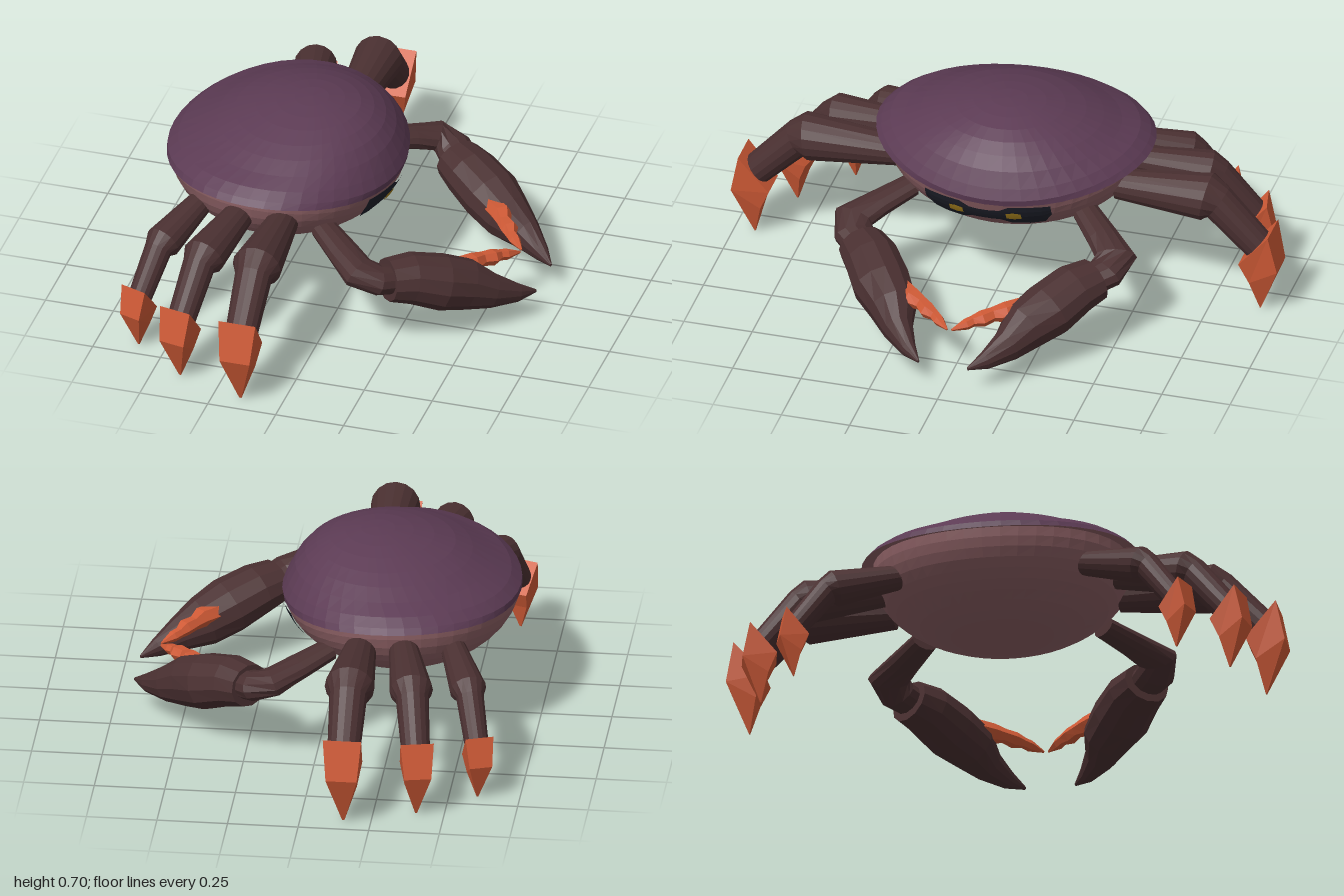
import * as THREE from 'three';

const V = (x, y, z) => new THREE.Vector3(x, y, z);
const UP = V(0, 1, 0);
const mat = (name, color) => Object.assign(new THREE.MeshStandardMaterial({ color }), { name });

// Skin a list of rings with flat facets; closed rings wrap around and can be capped.
function skin(rings, { closed = true, capStart = false, capEnd = false } = {}) {
  const pos = [], n = rings[0].length;
  const tri = (a, b, c) => {
    const area = b.clone().sub(a).cross(c.clone().sub(a)).length();
    if (area > 1e-9) for (const p of [a, b, c]) pos.push(p.x, p.y, p.z);
  };
  for (let i = 0; i + 1 < rings.length; i++) {
    for (let j = 0; j < (closed ? n : n - 1); j++) {
      const k = (j + 1) % n;
      tri(rings[i][j], rings[i + 1][j], rings[i][k]);
      tri(rings[i][k], rings[i + 1][j], rings[i + 1][k]);
    }
  }
  const cap = (ring, flip) => {
    const c = ring.reduce((s, p) => s.add(p), V(0, 0, 0)).divideScalar(n);
    ring.forEach((p, j) => {
      const q = ring[(j + 1) % n];
      if (flip) tri(c, q, p); else tri(c, p, q);
    });
  };
  if (capStart) cap(rings[0], false);
  if (capEnd) cap(rings[rings.length - 1], true);
  const g = new THREE.BufferGeometry();
  g.setAttribute('position', new THREE.Float32BufferAttribute(pos, 3));
  g.computeVertexNormals();
  return g;
}

// Loft elliptical sections [point, halfWidth, halfHeight] along a bent path.
function loft(sections, sides) {
  const pts = sections.map(s => s[0]);
  const dir = i => pts[i + 1].clone().sub(pts[i]).normalize();
  const rings = sections.map(([p, a, b = a], i) => {
    const t = V(0, 0, 0);
    if (i > 0) t.add(dir(i - 1));
    if (i + 1 < pts.length) t.add(dir(i));
    t.normalize();
    const side = t.clone().cross(UP).normalize();
    const up = side.clone().cross(t);
    return Array.from({ length: sides }, (_, j) => {
      const an = (j / sides) * Math.PI * 2;
      return p.clone().addScaledVector(side, a * Math.cos(an)).addScaledVector(up, b * Math.sin(an));
    });
  });
  return skin(rings, { capStart: true, capEnd: true });
}

export function createModel() {
  const shellMat = mat('shell purple', 0x5c3b54);
  const bellyMat = mat('belly pink', 0x8b5f63);
  const limbMat = mat('limb brown', 0x4a3031);
  const orangeMat = mat('tip orange', 0xcf5a36);
  const visorMat = mat('visor black', 0x1e202a);
  const eyeMat = mat('eye yellow', 0xa8821f);

  const model = new THREE.Group();
  model.name = 'crab';
  const add = (name, geometry, material, parent = model) => {
    const m = new THREE.Mesh(geometry, material);
    m.name = name;
    parent.add(m);
  };

  // Body: the rim dips at the front (+x) and a little at the back
  const SEG = 44;
  const rimY = c => 0.52 - 0.015 * c - 0.05 * c * c;
  const around = f => Array.from({ length: SEG }, (_, j) => {
    const an = (j / SEG) * Math.PI * 2;
    return f(Math.cos(an), Math.sin(an));
  });

  // Domed shell: [height, centre x, half length, half width, rim influence]
  const shellRings = [
    [0.5, -0.26, 0.42, 0.5, 1], [0.52, -0.257, 0.422, 0.48, 0.95],
    [0.55, -0.247, 0.395, 0.445, 0.75], [0.585, -0.225, 0.345, 0.385, 0.3],
    [0.62, -0.21, 0.295, 0.325, 0.1], [0.648, -0.2, 0.245, 0.265, 0],
    [0.672, -0.185, 0.185, 0.195, 0], [0.688, -0.177, 0.12, 0.13, 0],
    [0.697, -0.172, 0.06, 0.065, 0], [0.7, -0.17, 0, 0, 0],
  ].map(([y, cx, rx, rz, w]) => around((c, s) => V(cx + rx * c, y + w * (rimY(c) - 0.5), rz * s)));
  add('shell', skin(shellRings), shellMat);

  // Rounded belly, closed against the shell rim
  const B = { cx: -0.255, cy: 0.5, rx: 0.42, ry: 0.27, rz: 0.46 };
  const bellyRings = [];
  for (let i = 0; i <= 12; i++) {
    bellyRings.push(around((c, s) => {
      const phi = (i / 12) * Math.acos((B.cy - rimY(c)) / B.ry);
      const r = Math.sin(phi);
      return V(B.cx + B.rx * r * c, B.cy - B.ry * Math.cos(phi), B.rz * r * s);
    }));
  }
  bellyRings.push(shellRings[0]);
  add('belly', skin(bellyRings), bellyMat);

  // Face plates that follow the belly: columns of [z, low y, high y]
  const plate = (columns, lift) => skin(columns.map(([z, lo, hi]) =>
    [0, 1, 2, 3, 4].map(k => {
      const y = lo + ((hi - lo) * k) / 4;
      const q = 1 - ((y - B.cy) / B.ry) ** 2 - (z / B.rz) ** 2;
      return V(B.cx + B.rx * Math.sqrt(q) + lift, y, z);
    })), { closed: false });
  const half = [[0.23, 0.41, 0.455], [0.2, 0.362, 0.455], [0.15, 0.356, 0.455],
    [0.09, 0.358, 0.455], [0.055, 0.382, 0.435], [0.02, 0.382, 0.432]];
  const mirrored = half.map(([z, lo, hi]) => [-z, lo, hi]).reverse();
  add('visor', plate([...half, ...mirrored], 0.008), visorMat);
  for (const s of [1, -1]) {
    const z = s * 0.105;
    add('eye', plate([[z + 0.026, 0.398, 0.425], [z, 0.394, 0.43], [z - 0.026, 0.398, 0.425]], 0.014), eyeMat);
  }

  // Walking legs: toe tip, outward angle, scale, hip position and knee height
  const legs = [
    { name: 'frontLeg', tip: [-0.152, 0.925], angle: 0, k: 1, hip: [-0.155, 0.42, 0.4], knee: 0.425 },
    { name: 'middleLeg', tip: [-0.4, 0.84], angle: 0.21, k: 0.87, hip: [-0.3, 0.44, 0.38], knee: 0.395 },
    { name: 'rearLeg', tip: [-0.6, 0.685], angle: 0.34, k: 0.74, hip: [-0.46, 0.42, 0.3], knee: 0.35 },
  ];
  for (const side of [1, -1]) {
    for (const { name, tip, angle, k, hip, knee } of legs) {
      const leg = new THREE.Group();
      leg.name = name;
      model.add(leg);
      const out = V(-Math.sin(angle), 0, side * Math.cos(angle));
      const lat = out.clone().cross(UP);
      const at = (s, y, w = 0) => V(tip[0], y, side * tip[1])
        .addScaledVector(out, s * k).addScaledVector(lat, w * k);
      add('legSegments', loft([
        [V(hip[0], hip[1], side * hip[2]), 0.055 * k],
        [at(-0.195, knee), 0.088 * k],
        [at(-0.155, knee - 0.015), 0.067 * k],
        [at(-0.01, 0.26 * k), 0.058 * k],
      ], 16), limbMat, leg);
      // Pointed toe with a slanted square top
      const ring = (so, yo, wo, si, yi, wi) => [
        at(so, yo * k, wo), at(so, yo * k, -wo), at(si, yi * k, -wi), at(si, yi * k, wi)];
      add('toe', skin([
        ring(0.045, 0.33, 0.068, -0.065, 0.2, 0.06),
        ring(0.075, 0.185, 0.055, -0.03, 0.12, 0.045),
        ring(0.002, 0, 0.004, -0.002, 0, 0.004),
      ], { capStart: true, capEnd: true }), orangeMat, leg);
    }

    // Pincer arm: elbow, palm with a long fixed finger, and a toothed thumb
    const pincer = new THREE.Group();
    pincer.name = side > 0 ? 'rightPincer' : 'leftPincer';
    pincer.name = 'pincer';
    model.add(pincer);
    const P = (x, y, z) => V(x, y, side * z);
    add('arm', loft([
      [P(-0.03, 0.365, 0.32), 0.05, 0.035], [P(0.07, 0.335, 0.41), 0.06, 0.04],
      [P(0.145, 0.31, 0.48), 0.075, 0.047], [P(0.21, 0.28, 0.46), 0.072, 0.052],
      [P(0.28, 0.255, 0.39), 0.06, 0.05],
    ], 12), limbMat, pincer);
    add('palmAndFinger', loft([
      [P(0.235, 0.262, 0.425), 0.088, 0.075], [P(0.3, 0.25, 0.37), 0.1, 0.09],
      [P(0.395, 0.212, 0.305), 0.106, 0.1], [P(0.475, 0.178, 0.24), 0.088, 0.092],
      [P(0.555, 0.142, 0.2), 0.055, 0.064], [P(0.63, 0.113, 0.14), 0.028, 0.034],
      [P(0.68, 0.1, 0.09), 0.004, 0.006],
    ], 12), limbMat, pincer);
    add('thumb', loft([
      [P(0.425, 0.225, 0.22), 0.036, 0.036], [P(0.475, 0.226, 0.17), 0.038, 0.036],
      [P(0.495, 0.222, 0.13), 0.026, 0.026], [P(0.525, 0.217, 0.1), 0.032, 0.029],
      [P(0.54, 0.211, 0.07), 0.02, 0.02], [P(0.56, 0.206, 0.05), 0.021, 0.02],
      [P(0.597, 0.197, 0.008), 0.003, 0.004],
    ], 6), orangeMat, pincer);
  }
  return model;
}
